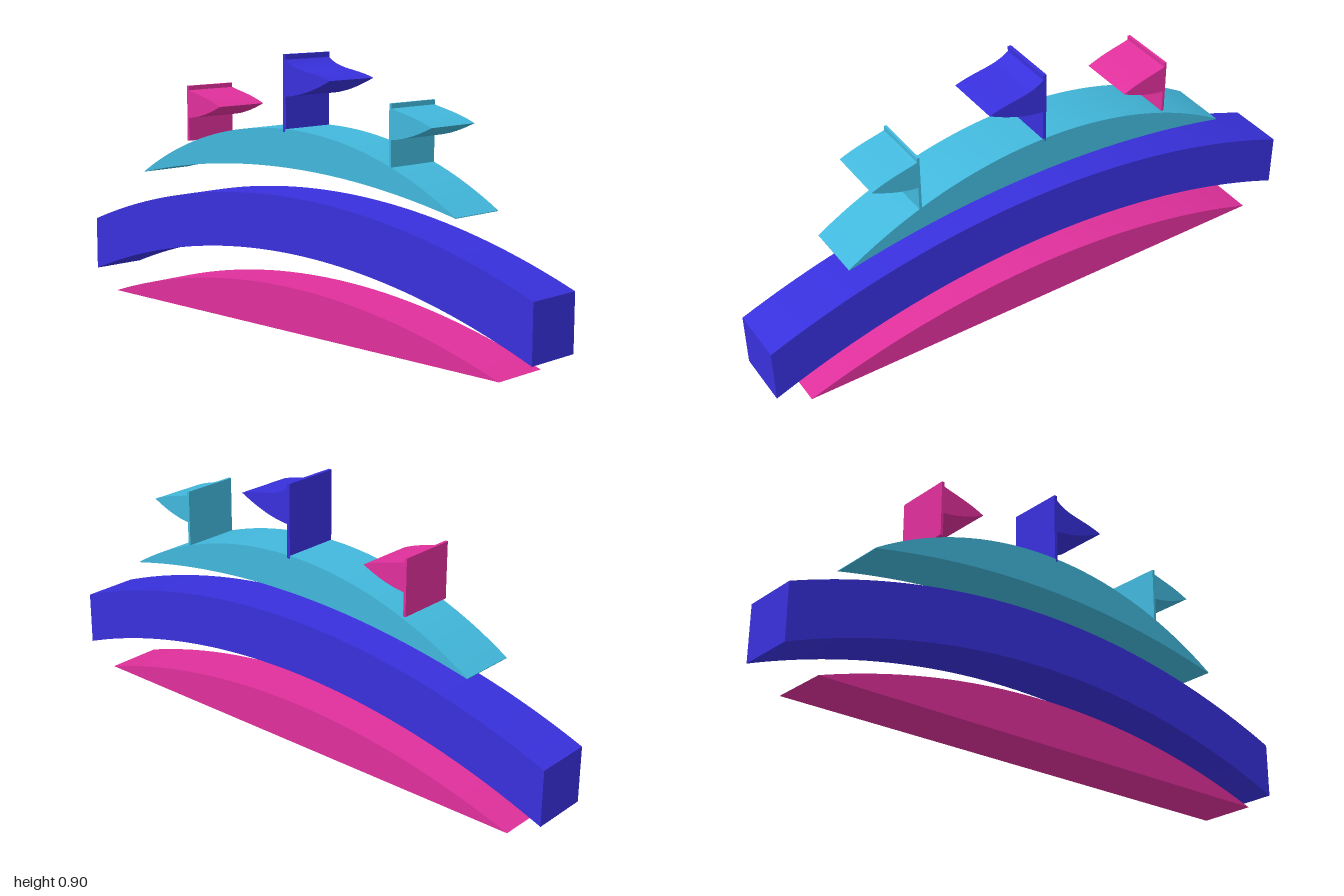
import * as THREE from 'three';
import { toCreasedNormals } from 'three/addons/utils/BufferGeometryUtils.js';

const DEPTH = 0.2;
const PINK = 0xe0309c, BLUE = 0x3830dc, CYAN = 0x42b8dc;

// Circular arc from (-half, endY) over (0, peakY) to (half, endY)
function arc(half, endY, peakY, n = 48) {
  const rise = peakY - endY;
  const r = (half * half + rise * rise) / (2 * rise);
  const a = Math.asin(half / r);
  return Array.from({ length: n + 1 }, (_, i) => {
    const t = -a + (2 * a * i) / n;
    return new THREE.Vector2(r * Math.sin(t), peakY - r + r * Math.cos(t));
  });
}

// Extrude a flat outline through the common depth, centred on z = 0
function slab(name, shape, color) {
  const geo = new THREE.ExtrudeGeometry(shape, { depth: DEPTH, bevelEnabled: false, curveSegments: 12 });
  geo.translate(0, 0, -DEPTH / 2);
  const mesh = new THREE.Mesh(toCreasedNormals(geo, 0.5), new THREE.MeshStandardMaterial({ color }));
  mesh.name = name;
  return mesh;
}

// Band between two arcs
function band(name, half, outer, inner, color) {
  const points = [...arc(half, ...outer), ...arc(half, ...inner).reverse()];
  return slab(name, new THREE.Shape(points), color);
}

// Pole with a curved pennant pointing to +x
function flag(name, { x, base, top, w, flagTop, flagBottom, tip, dip, color }) {
  const group = new THREE.Group();
  group.name = name;

  const pole = new THREE.Shape();
  pole.moveTo(x - w / 2, base);
  pole.lineTo(x + w / 2, base);
  pole.lineTo(x + w / 2, top);
  pole.lineTo(x - w / 2, top);
  pole.closePath();

  const x0 = x + w / 2, len = tip[0] - x0;
  const cloth = new THREE.Shape();
  cloth.moveTo(x0, flagBottom);
  cloth.quadraticCurveTo(x0 + len * 0.45, flagBottom + 0.006, tip[0], tip[1]);
  cloth.bezierCurveTo(x0 + len * 0.6, tip[1] + 0.028, x0 + len * 0.25, flagTop - dip, x0, flagTop);
  group.add(slab(name + 'Pole', pole, color), slab(name + 'Pennant', cloth, color));
  return group;
}

export function createModel() {
  const model = new THREE.Group();
  model.name = 'archedEmblem';

  // Lower segment with a flat base
  model.add(slab('lowerSegment', new THREE.Shape(arc(0.885, 0, 0.148).reverse()), PINK));

  // Wide middle band and upper crescent
  model.add(band('middleBand', 1, [0.255, 0.445], [0.068, 0.26], BLUE));
  model.add(band('upperCrescent', 0.715, [0.459, 0.665], [0.457, 0.54], CYAN));

  // Three flags on the crescent
  model.add(flag('centreFlag', {
    x: 0.001, base: 0.655, top: 0.905, w: 0.012, flagTop: 0.888, flagBottom: 0.77,
    tip: [0.203, 0.83], dip: 0.04, color: BLUE,
  }));
  model.add(flag('rightFlag', {
    x: -0.473, base: 0.588, top: 0.777, w: 0.009, flagTop: 0.762, flagBottom: 0.667,
    tip: [-0.31, 0.715], dip: 0.012, color: PINK,
  }));
  model.add(flag('leftFlag', {
    x: 0.457, base: 0.578, top: 0.777, w: 0.009, flagTop: 0.762, flagBottom: 0.667,
    tip: [0.619, 0.715], dip: 0.012, color: CYAN,
  }));
  return model;
}
